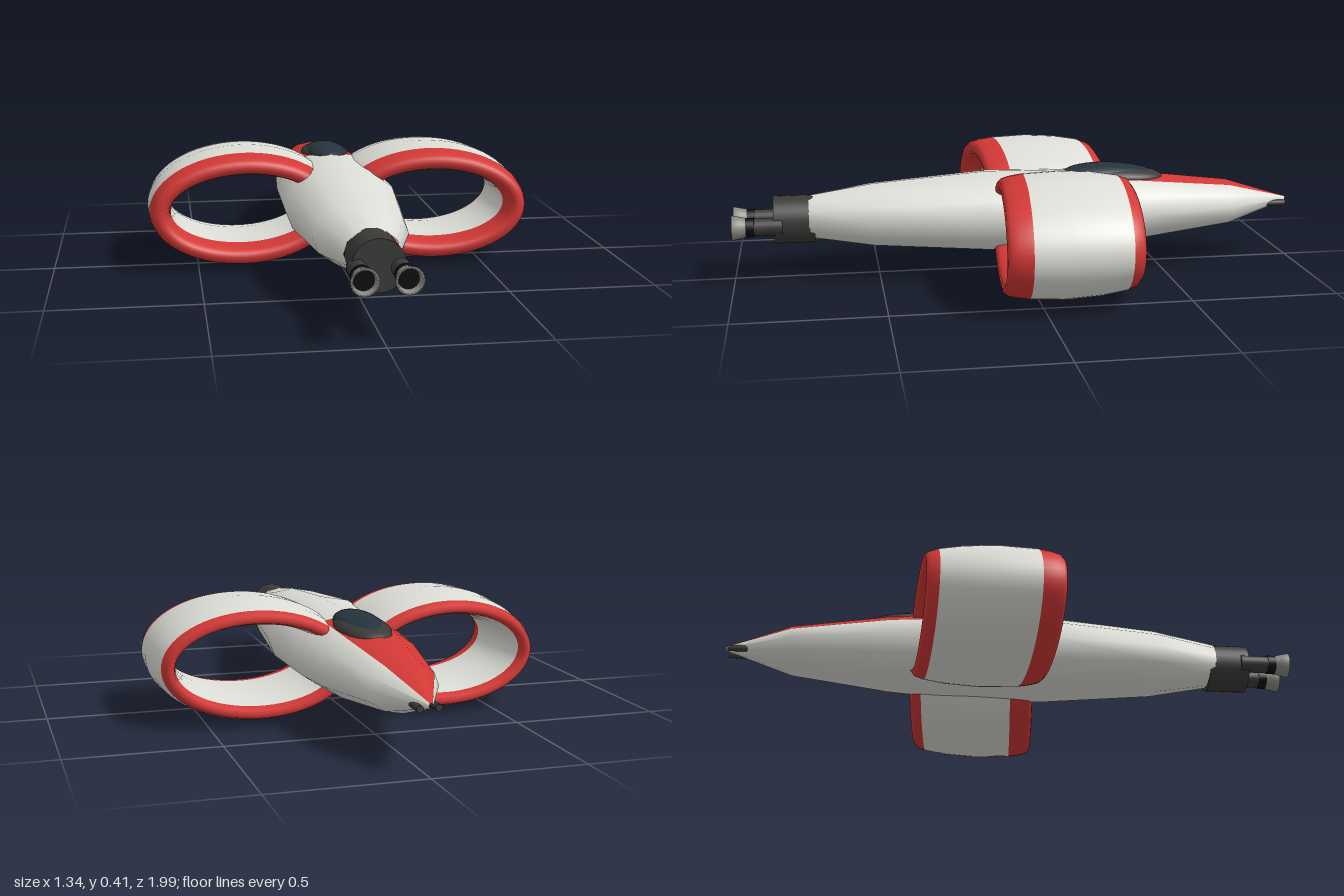
import * as THREE from 'three';

const paint = (color) => new THREE.MeshStandardMaterial({ color });
const white = paint(0xdeded8), red = paint(0xd23835), dark = paint(0x3a3a38);
const grey = paint(0x8a8a85), glass = paint(0x26333c), black = paint(0x0c0c0c);
grey.side = THREE.DoubleSide;

// Skin over closed rings of points; pick(i, j) gives each quad a material index
function loft(rings, loop, materials, pick) {
  const n = rings[0].length, rows = rings.length;
  const faces = materials.map(() => []);
  for (let i = 0; i < (loop ? rows : rows - 1); i++) {
    for (let j = 0; j < n; j++) {
      const k = (j + 1) % n, r = (i + 1) % rows;
      const a = i * n + j, b = i * n + k, c = r * n + k, d = r * n + j;
      faces[pick(i, j)].push(a, b, c, a, c, d);
    }
  }
  const geo = new THREE.BufferGeometry();
  geo.setAttribute('position', new THREE.Float32BufferAttribute(rings.flat(2), 3));
  geo.setIndex(faces.flat());
  let start = 0;
  faces.forEach((f, m) => {
    geo.addGroup(start, f.length, m);
    start += f.length;
  });
  geo.computeVertexNormals();
  return new THREE.Mesh(geo, materials);
}

// Twelve-sided hull with a red panel over the nose
function makeFuselage() {
  const stations = [ // z, half width, half height
    [-0.99, 0.006, 0.008], [-0.76, 0.115, 0.08], [-0.42, 0.18, 0.121], [-0.23, 0.195, 0.134],
    [0.12, 0.202, 0.139], [0.52, 0.156, 0.108], [0.74, 0.088, 0.074],
  ];
  const rings = stations.map(([z, w, h]) => Array.from({ length: 12 }, (_, j) => {
    const t = j * Math.PI / 6;
    return [w * Math.cos(t), 0.213 + h * Math.sin(t), z];
  }));
  return loft(rings, false, [white, red], (i, j) => (i < 3 && j >= 2 && j <= 4 ? 1 : 0));
}

// Elliptical ring wing: an airfoil section swept round and raked along z
function makeRingWing(side) {
  const section = [ // z, depth below the outer surface
    [0.122, 0.045], [0.119, 0.03], [0.108, 0.02], [0.085, 0.013], [0.04, 0.006], [-0.09, 0],
    [-0.2, 0.007], [-0.28, 0.02], [-0.31, 0.031], [-0.321, 0.045], [-0.31, 0.058], [-0.28, 0.066],
    [-0.2, 0.077], [-0.09, 0.083], [0.04, 0.08], [0.085, 0.074], [0.108, 0.068], [0.119, 0.058],
  ];
  const steps = 64;
  const rings = Array.from({ length: steps }, (_, i) => {
    const t = i / steps * Math.PI * 2;
    return section.map(([z, d]) => {
      const x = 0.335 + (0.337 - d) * Math.cos(t);
      return [side * x, 0.203 + (0.203 - d) * Math.sin(t), z + 0.07 * (x - 0.4)];
    });
  });
  if (side < 0) rings.reverse();
  return loft(rings, true, [white, red], (i, j) => {
    const z = (section[j][0] + section[(j + 1) % section.length][0]) / 2;
    return z > 0.04 || z < -0.28 ? 1 : 0;
  });
}

export function createModel() {
  const model = new THREE.Group();
  const add = (name, mesh, x = 0, y = 0, z = 0) => {
    mesh.name = name;
    mesh.position.set(x, y, z);
    model.add(mesh);
    return mesh;
  };
  // Rod along z, from z0 to z1
  const rod = (name, mat, r, x, y, z0, z1, sides = 24) => {
    const geo = new THREE.CylinderGeometry(r, r, z1 - z0, sides).rotateX(Math.PI / 2);
    return add(name, new THREE.Mesh(geo, mat), x, y, (z0 + z1) / 2);
  };

  add('fuselage', makeFuselage());
  add('leftRingWing', makeRingWing(1));
  add('rightRingWing', makeRingWing(-1));

  // Canopy and its frame, sunk into the hull
  const dome = (name, mat, sx, sy, sz, y, z) => {
    const mesh = add(name, new THREE.Mesh(new THREE.SphereGeometry(1, 32, 20), mat), 0, y, z);
    mesh.scale.set(sx, sy, sz);
    mesh.rotation.x = -0.06;
  };
  dome('canopyFrame', dark, 0.088, 0.037, 0.165, 0.322, -0.358);
  dome('canopy', glass, 0.078, 0.043, 0.175, 0.325, -0.333);

  // Engine block
  rod('engineCollar', dark, 0.083, 0, 0.205, 0.72, 0.86, 32);

  for (const [side, label] of [[1, 'left'], [-1, 'right']]) {
    // Exhaust pipe and flared nozzle
    rod(label + 'ExhaustPipe', dark, 0.03, side * 0.065, 0.197, 0.83, 0.93);
    const profile = [[0.029, 0], [0.031, 0.025], [0.038, 0.055], [0.043, 0.08], [0.035, 0.08], [0.031, 0.05]];
    const bell = new THREE.LatheGeometry(profile.map(([r, h]) => new THREE.Vector2(r, h)), 24);
    add(label + 'Nozzle', new THREE.Mesh(bell.rotateX(Math.PI / 2), grey), side * 0.065, 0.197, 0.92);
    rod(label + 'NozzleThroat', black, 0.033, side * 0.065, 0.197, 0.925, 0.975);
    // Small barrel beside the nose
    rod(label + 'NoseBarrel', dark, 0.011, side * 0.029, 0.203, -0.98, -0.9, 12);
  }
  return model;
}
